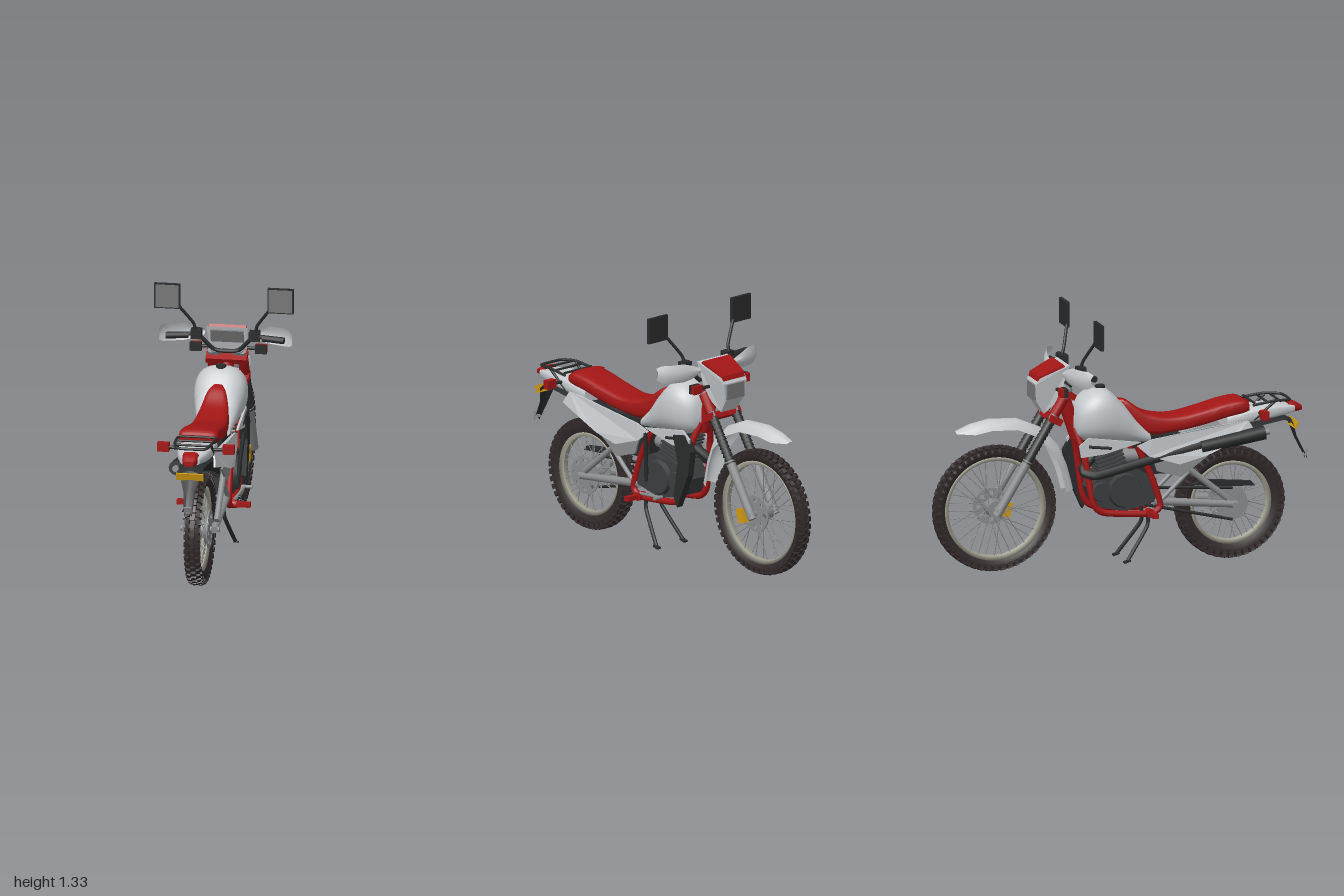
import * as THREE from 'three';
import { toCreasedNormals, mergeGeometries } from 'three/addons/utils/BufferGeometryUtils.js';

const mat = (color) => new THREE.MeshStandardMaterial({ color, side: THREE.DoubleSide });
const M = {
  white: mat(0xc4c8cb), red: mat(0xa31616), rubber: mat(0x322a2b), black: mat(0x2a2b2c), engine: mat(0x3c3d3f),
  metal: mat(0x8a8c8e), rim: mat(0xa3a294), glass: mat(0x777777), yellow: mat(0xd09a14),
};
const V = (x, y, z) => new THREE.Vector3(x, y, z);
const both = (fn) => [1, -1].forEach(fn);

export function createModel() {
  const root = new THREE.Group();
  const add = (name, geo, m, parent = root) => {
    const mesh = new THREE.Mesh(geo, m);
    mesh.name = name;
    parent.add(mesh);
    return mesh;
  };
  const box = (name, m, size, pos, rx = 0, parent = root) => {
    const b = add(name, new THREE.BoxGeometry(...size), m, parent);
    b.position.set(...pos);
    b.rotation.x = rx;
    return b;
  };
  // Straight rod between two points
  const rodGeo = (a, b, r0, r1 = r0, seg = 12) => {
    const d = b.clone().sub(a);
    const q = new THREE.Quaternion().setFromUnitVectors(V(0, 1, 0), d.clone().normalize());
    return new THREE.CylinderGeometry(r1, r0, d.length(), seg).applyQuaternion(q)
      .translate((a.x + b.x) / 2, (a.y + b.y) / 2, (a.z + b.z) / 2);
  };
  const rod = (name, m, a, b, r0, r1, parent) => add(name, rodGeo(V(...a), V(...b), r0, r1), m, parent);
  const pipe = (name, m, pts, r, tension = 0.3) => add(name, new THREE.TubeGeometry(
    new THREE.CatmullRomCurve3(pts.map((p) => V(...p)), false, 'catmullrom', tension), pts.length * 8, r, 10), m);
  // Skin over rows of points, optionally capped
  const skin = (name, m, rows, capped = false, crease = 0.7) => {
    const n = rows[0].length, pos = rows.flat().flatMap((p) => [p.x, p.y, p.z]), idx = [];
    for (let i = 0; i < rows.length - 1; i++) for (let j = 0; j < n - 1; j++) {
      const a = i * n + j, c = a + n;
      idx.push(a, a + 1, c, a + 1, c + 1, c);
    }
    if (capped) for (let j = 1; j < n - 2; j++) {
      const e = (rows.length - 1) * n;
      idx.push(0, j + 1, j, e, e + j, e + j + 1);
    }
    const g = new THREE.BufferGeometry();
    g.setAttribute('position', new THREE.Float32BufferAttribute(pos, 3));
    g.setIndex(idx);
    return add(name, toCreasedNormals(g, crease), m);
  };
  // Rounded body from stations [z, bottom, top, halfWidth]
  const body = (name, m, stations, power, seg = 28) => {
    const curve = (k) => new THREE.CatmullRomCurve3(stations.map((s) => V(s[k], s[0], 0)));
    const [lo, hi, wd] = [1, 2, 3].map(curve), rows = [], N = stations.length * 4;
    const f = (c) => Math.sign(c) * Math.abs(c) ** (2 / power);
    for (let i = 0; i <= N; i++) {
      const a = lo.getPoint(i / N), b = hi.getPoint(i / N).x, w = wd.getPoint(i / N).x;
      rows.push(Array.from({ length: seg + 1 }, (_, j) => {
        const t = (j / seg) * Math.PI * 2;
        return V(w * f(Math.cos(t)), (a.x + b) / 2 + (b - a.x) / 2 * f(Math.sin(t)), a.y);
      }));
    }
    return skin(name, m, rows, true);
  };
  // Side profile [z, y] with x given by a rule of (z, y, side)
  const profile = (name, m, pts, rule) => {
    const g = new THREE.ExtrudeGeometry(new THREE.Shape(pts.map((p) => new THREE.Vector2(...p))),
      { depth: 2, bevelEnabled: false }).rotateY(-Math.PI / 2).translate(1, 0, 0);
    const p = g.attributes.position;
    for (let i = 0; i < p.count; i++) p.setX(i, rule(p.getZ(i), p.getY(i), Math.sign(p.getX(i))));
    g.computeVertexNormals();
    return add(name, g, m);
  };

  // Wheels: tyre with knobs, rim, spokes and hub
  const wheel = (name, z, y, R, rimR, discR, knobs) => {
    const g = new THREE.Group();
    g.name = name;
    g.position.set(0, y, z);
    root.add(g);
    const lathe = (pts) => new THREE.LatheGeometry(pts.map((p) => new THREE.Vector2(...p)), 72).rotateZ(Math.PI / 2);
    const h = R - rimR;
    add('tyre', lathe([[rimR, -0.022], [rimR + h * 0.35, -0.036], [rimR + h * 0.65, -0.037], [R - 0.017, -0.026],
      [R - 0.012, 0], [R - 0.017, 0.026], [rimR + h * 0.65, 0.037], [rimR + h * 0.35, 0.036], [rimR, 0.022]]), M.rubber, g);
    const blocks = [];
    for (let i = 0; i < knobs; i++) {
      const a = (i / knobs) * Math.PI * 2, pitch = R * Math.PI * 2 / knobs;
      const block = (w, hh, x, r, tilt, ang) => blocks.push(new THREE.BoxGeometry(w, hh, pitch * 0.58)
        .rotateZ(tilt).translate(x, r, 0).rotateX(ang));
      block(0.024, 0.016, 0, R - 0.008, 0, a + Math.PI / knobs);
      both((s) => {
        block(0.02, 0.018, s * 0.024, R - 0.011, -s * 0.35, a);
        block(0.01, 0.022, s * 0.036, R - 0.026, -s * 0.2, a);
      });
    }
    add('treadKnobs', mergeGeometries(blocks), M.rubber, g);
    add('rim', lathe([[rimR - 0.018, -0.014], [rimR + 0.004, -0.026], [rimR + 0.004, 0.026], [rimR - 0.018, 0.014],
      [rimR - 0.018, -0.014]]), M.rim, g);
    const spokes = [];
    for (let i = 0; i < 36; i++) {
      const a = (i / 36) * Math.PI * 2, s = i % 2 ? 1 : -1, b = a + (i % 4 < 2 ? 0.55 : -0.55);
      spokes.push(rodGeo(V(s * 0.03, Math.cos(b) * 0.045, Math.sin(b) * 0.045),
        V(s * 0.006, Math.cos(a) * (rimR - 0.012), Math.sin(a) * (rimR - 0.012)), 0.0022, 0.0022, 5));
    }
    add('spokes', mergeGeometries(spokes), M.metal, g);
    rod('hub', M.metal, [-0.04, 0, 0], [0.04, 0, 0], 0.045, 0.045, g);
    rod('axle', M.metal, [-0.1, 0, 0], [0.1, 0, 0], 0.014, 0.014, g);
    // Perforated disc
    const disc = new THREE.Shape().absarc(0, 0, discR, 0, Math.PI * 2);
    for (let i = 0; i < 8; i++) {
      const a = i * Math.PI / 4;
      disc.holes.push(new THREE.Path().absarc(Math.cos(a) * discR * 0.72, Math.sin(a) * discR * 0.72, discR * 0.13, 0, Math.PI * 2));
    }
    add('disc', new THREE.ExtrudeGeometry(disc, { depth: 0.006, bevelEnabled: false, curveSegments: 24 })
      .rotateY(Math.PI / 2).translate(0.046, 0, 0), M.metal, g);
    return g;
  };
  wheel('frontWheel', -0.67, 0.345, 0.325, 0.265, 0.095, 50);
  const rear = wheel('rearWheel', 0.585, 0.295, 0.29, 0.212, 0.1, 44);
  rod('brakeDrum', M.metal, [0.03, 0, 0], [0.05, 0, 0], 0.08, 0.07, rear);
  rod('sprocket', M.metal, [-0.055, 0, 0], [-0.048, 0, 0], 0.085, 0.085, rear);
  box('brakeCaliper', M.yellow, [0.035, 0.075, 0.045], [0.06, 0.32, -0.585], 0.3);

  // Fork, with ribbed gaiters
  const fork = (t, x) => [x, 0.34 + 0.61 * t, -0.67 + 0.37 * t];
  both((s) => {
    const x = s * 0.08;
    rod('forkSlider', M.metal, fork(-0.03, x), fork(0.42, x), 0.023, 0.025);
    for (let i = 0; i < 12; i++) rod('forkGaiter', M.black, fork(0.4 + i * 0.03, x), fork(0.43 + i * 0.03, x), 0.027, 0.021);
    rod('forkTube', M.metal, fork(0.76, x), fork(1.02, x), 0.019);
    rod('forkCover', M.red, fork(0.8, x), fork(0.94, x), 0.027);
  });
  box('upperClamp', M.red, [0.21, 0.03, 0.075], [0, 0.93, -0.3], 0.5);
  box('lowerClamp', M.red, [0.21, 0.035, 0.07], [0, 0.8, -0.37], 0.5);
  rod('headStock', M.red, [0, 0.69, -0.23], [0, 0.92, -0.31], 0.036);

  // Front fender with splash guard
  const fenderPath = [[-0.25, 0.42, 0.045], [-0.285, 0.55, 0.055], [-0.335, 0.66, 0.065], [-0.43, 0.755, 0.065],
    [-0.55, 0.805, 0.065], [-0.7, 0.81, 0.062], [-0.8, 0.79, 0.052], [-0.88, 0.757, 0.025]];
  skin('frontFender', M.white, fenderPath.map(([z, y, w], i) => {
    const c = V(0, 0.345 - y, -0.67 - z).normalize(), drop = i === 7 ? 0.01 : 0.05;
    return Array.from({ length: 9 }, (_, j) => {
      const u = j / 4 - 1;
      return V(w * u, y, z).addScaledVector(c, drop * Math.abs(u) ** 2.5);
    });
  }));

  // Headlight cowl and instruments
  const cowlWidth = (z, y, s) => s * (0.105 + (z + 0.31) * 0.16 - Math.max(0, 0.97 - y) * 0.25);
  profile('headlightCowl', M.white, [[-0.3, 1.085], [-0.45, 1.02], [-0.47, 0.99], [-0.465, 0.9], [-0.42, 0.83],
    [-0.37, 0.88], [-0.34, 0.96]], cowlWidth);
  profile('cowlTop', M.red, [[-0.32, 1.078], [-0.33, 1.09], [-0.455, 1.03], [-0.462, 1.005]], (z, y, s) => cowlWidth(z, y, s) * 0.93);
  box('headlight', M.glass, [0.12, 0.08, 0.012], [0, 0.945, -0.47]);
  box('dash', M.glass, [0.17, 0.07, 0.01], [0, 1.035, -0.308], 0.35);
  both((s) => {
    rod('gauge', M.metal, [s * 0.055, 0.94, -0.325], [s * 0.055, 0.975, -0.305], 0.036);
    rod('frontSignalStalk', M.black, [s * 0.07, 0.96, -0.36], [s * 0.15, 0.96, -0.355], 0.009);
    box('frontSignal', M.black, [0.06, 0.045, 0.02], [s * 0.168, 0.96, -0.345]);
    box('frontSignalLens', M.red, [0.058, 0.042, 0.02], [s * 0.168, 0.96, -0.363]);
  });

  // Handlebar, controls, guards and mirrors
  pipe('handlebar', M.black, [[-0.3, 1.05, -0.23], [-0.15, 1.055, -0.255], [-0.06, 0.97, -0.28], [0.06, 0.97, -0.28],
    [0.15, 1.055, -0.255], [0.3, 1.05, -0.23]], 0.011);
  both((s) => {
    rod('grip', M.black, [s * 0.19, 1.052, -0.248], [s * 0.305, 1.05, -0.229], 0.017);
    box('switchBox', M.black, [0.055, 0.05, 0.045], [s * 0.15, 1.06, -0.255]);
    rod('lever', M.black, [s * 0.15, 1.05, -0.275], [s * 0.29, 1.045, -0.28], 0.007);
    skin('handGuard', M.white, [[0.12, -0.345, 1.03, 1.06], [0.17, -0.345, 1.01, 1.08], [0.22, -0.335, 1.0, 1.095],
      [0.29, -0.31, 1.0, 1.095], [0.325, -0.285, 1.005, 1.095], [0.342, -0.26, 1.02, 1.08]]
      .map(([x, z, lo, hi]) => [0, 1, 2, 3].map((k) => V(s * x, lo + (hi - lo) * k / 3, z + (k % 3 ? 0 : 0.015)))));
    pipe('mirrorStem', M.black, [[s * 0.155, 1.07, -0.26], [s * 0.165, 1.12, -0.245], [s * 0.235, 1.22, -0.207]], 0.008);
    box('mirrorShell', M.black, [0.132, 0.132, 0.016], [s * 0.292, 1.271, -0.203]);
    box('mirrorGlass', M.glass, [0.12, 0.12, 0.004], [s * 0.292, 1.271, -0.194]);
  });

  // Tank, seat and tail
  body('fuelTank', M.white, [[-0.258, 0.74, 0.8, 0.04], [-0.235, 0.69, 0.87, 0.09], [-0.17, 0.665, 0.925, 0.128], [-0.09, 0.655, 0.938, 0.135],
    [0, 0.65, 0.86, 0.118], [0.07, 0.645, 0.77, 0.1], [0.14, 0.64, 0.7, 0.085]], 2.5);
  rod('fuelCap', M.black, [0, 0.92, -0.105], [0, 0.948, -0.107], 0.027);
  body('seat', M.red, [[-0.008, 0.84, 0.875, 0.025], [0.03, 0.78, 0.865, 0.048], [0.13, 0.685, 0.8, 0.077], [0.27, 0.69, 0.775, 0.09],
    [0.42, 0.715, 0.8, 0.097], [0.56, 0.75, 0.833, 0.1], [0.64, 0.765, 0.838, 0.1], [0.665, 0.775, 0.82, 0.092]], 4);
  body('tail', M.white, [[0.55, 0.69, 0.76, 0.085], [0.7, 0.715, 0.79, 0.09], [0.82, 0.73, 0.795, 0.08], [0.92, 0.745, 0.785, 0.05]], 4);
  body('tailLight', M.red, [[0.89, 0.74, 0.805, 0.042], [0.93, 0.745, 0.795, 0.038], [0.965, 0.75, 0.775, 0.025]], 4);
  box('plate', M.yellow, [0.14, 0.04, 0.008], [0, 0.682, 0.925], 0.3);
  skin('rearMudguard', M.black, [[0.32, 0.52, 0.06], [0.42, 0.63, 0.065], [0.6, 0.69, 0.07], [0.86, 0.735, 0.065], [0.91, 0.71, 0.055],
    [0.94, 0.62, 0.03], [0.995, 0.51, 0.02]].map(([z, y, w]) => [-1, -0.5, 0, 0.5, 1].map((u) => V(u * w, y - 0.02 * u * u, z))));
  box('rearReflector', M.metal, [0.04, 0.035, 0.008], [0, 0.525, 0.99], 0.35);

  // Luggage rack and rear signals
  pipe('rackLoop', M.black, [[-0.1, 0.81, 0.68], [-0.095, 0.825, 0.8], [-0.07, 0.82, 0.885], [0.07, 0.82, 0.885],
    [0.095, 0.825, 0.8], [0.1, 0.81, 0.68]], 0.007);
  [0.69, 0.76, 0.83].forEach((z) => rod('rackBar', M.black, [-0.095, 0.82, z], [0.095, 0.82, z], 0.006));
  both((s) => {
    rod('rackStay', M.black, [s * 0.09, 0.82, 0.8], [s * 0.085, 0.73, 0.69], 0.007);
    rod('rearSignalStalk', M.black, [s * 0.08, 0.765, 0.72], [s * 0.15, 0.77, 0.72], 0.009);
    box('rearSignal', M.red, [0.06, 0.045, 0.035], [s * 0.168, 0.77, 0.72]);
  });

  // Side panels, swept outwards in the middle
  both((s) => {
    const sweep = (z, y, k) => s * (0.128 - 0.25 * (z - 0.36) ** 2 - Math.max(0, y - 0.64) * 0.25 + k * 0.005);
    profile('sidePanel', M.white, [[0.7, 0.665], [0.66, 0.73], [0.42, 0.71], [0.14, 0.67], [0.06, 0.64], [0.12, 0.585],
      [0.28, 0.535], [0.42, 0.57], [0.55, 0.62]], sweep);
    profile('lowerSidePanel', M.metal, [[0.46, 0.575], [0.14, 0.59], [0.17, 0.5], [0.3, 0.46]], (z, y, k) => s * (0.09 + k * 0.005));
    profile('tankShroud', M.white, [[0.08, 0.66], [-0.2, 0.7], [-0.25, 0.66], [-0.24, 0.6], [-0.12, 0.61]],
      (z, y, k) => s * (0.11 + k * 0.006));
    rod('shroudSlot', M.black, [s * 0.115, 0.64, -0.08], [s * 0.115, 0.655, -0.2], 0.008);
  });
  profile('radiatorGuard', M.black, [[-0.14, 0.667], [-0.22, 0.68], [-0.27, 0.6], [-0.25, 0.47], [-0.17, 0.29], [-0.145, 0.345], [-0.175, 0.53]],
    (z, y, k) => 0.105 + k * 0.02);
  box('airBox', M.black, [0.14, 0.2, 0.22], [0, 0.58, 0.2]);

  // Engine
  profile('crankcase', M.engine, [[0.16, 0.34], [0.17, 0.46], [0.06, 0.52], [-0.13, 0.5], [-0.18, 0.42], [-0.14, 0.33], [0, 0.3]],
    (z, y, k) => k * 0.085);
  both((s) => {
    rod('clutchCover', M.engine, [s * 0.08, 0.41, 0], [s * 0.11, 0.41, 0], 0.095, 0.085);
    rod('sideCover', M.engine, [s * 0.08, 0.41, -0.125], [s * 0.1, 0.41, -0.125], 0.055, 0.048);
  });
  for (let i = 0; i < 8; i++) box('coolingFin', M.engine, [0.15, 0.009, 0.15], [0, 0.515 + i * 0.02, -0.05 - i * 0.007], -0.3);
  rod('cylinder', M.engine, [0, 0.48, -0.04], [0, 0.67, -0.1], 0.055);
  rod('carburettor', M.metal, [0, 0.57, -0.02], [0, 0.57, 0.1], 0.035);
  rod('kickLever', M.black, [0.11, 0.38, 0.07], [0.14, 0.64, 0.045], 0.011);
  rod('brakePedal', M.metal, [0.1, 0.3, 0.13], [0.13, 0.32, -0.05], 0.008);
  rod('pedalPad', M.metal, [0.115, 0.32, -0.05], [0.17, 0.32, -0.05], 0.009);

  // Exhaust
  pipe('exhaustPipe', M.black, [[-0.02, 0.58, -0.15], [-0.06, 0.52, -0.22], [-0.1, 0.5, -0.15], [-0.1, 0.55, 0.08], [-0.1, 0.62, 0.4]], 0.024);
  rod('muffler', M.black, [-0.1, 0.61, 0.4], [-0.1, 0.665, 0.74], 0.035, 0.038);
  rod('tailPipe', M.metal, [-0.1, 0.663, 0.73], [-0.1, 0.668, 0.765], 0.016);

  // Frame, swingarm, pegs and stands
  both((s) => {
    const x = s * 0.085;
    pipe('frameCradle', M.red, [[s * 0.03, 0.74, -0.25], [s * 0.07, 0.6, -0.21], [x, 0.36, -0.17], [x, 0.3, -0.11], [x, 0.28, 0.13],
      [x, 0.32, 0.19], [x, 0.48, 0.14], [x, 0.63, 0.07]], 0.017);
    rod('swingarm', M.metal, [s * 0.07, 0.34, 0.16], [s * 0.075, 0.295, 0.6], 0.022, 0.018);
    rod('swingarmBrace', M.metal, [s * 0.08, 0.55, 0.28], [s * 0.08, 0.33, 0.55], 0.016);
    rod('frameStay', M.metal, [s * 0.08, 0.33, 0.18], [s * 0.08, 0.5, 0.36], 0.012);
    rod('footPegMount', M.red, [s * 0.07, 0.285, 0.13], [s * 0.12, 0.285, 0.13], 0.022);
    box('footPeg', M.red, [0.075, 0.024, 0.03], [s * 0.152, 0.285, 0.135]);
    pipe('stand', M.black, [[s * 0.05, 0.29, 0.13], [s * 0.055, 0.21, 0.13], [s * 0.093, 0.045, 0.015]], 0.01);
    box('standFoot', M.black, [0.025, 0.01, 0.035], [s * 0.094, 0.04, 0.01], -0.3);
  });
  rod('frameSpine', M.red, [0, 0.72, -0.24], [0, 0.66, 0.12], 0.022);
  rod('chainTop', M.black, [-0.052, 0.41, 0.12], [-0.052, 0.378, 0.585], 0.008);
  rod('chainBottom', M.black, [-0.052, 0.32, 0.12], [-0.052, 0.213, 0.585], 0.008);
  profile('chainGuard', M.black, [[0.7, 0.385], [0.68, 0.41], [0.42, 0.435], [0.36, 0.41], [0.45, 0.4]], (z, y, k) => -0.065 + k * 0.014);
  return root;
}
